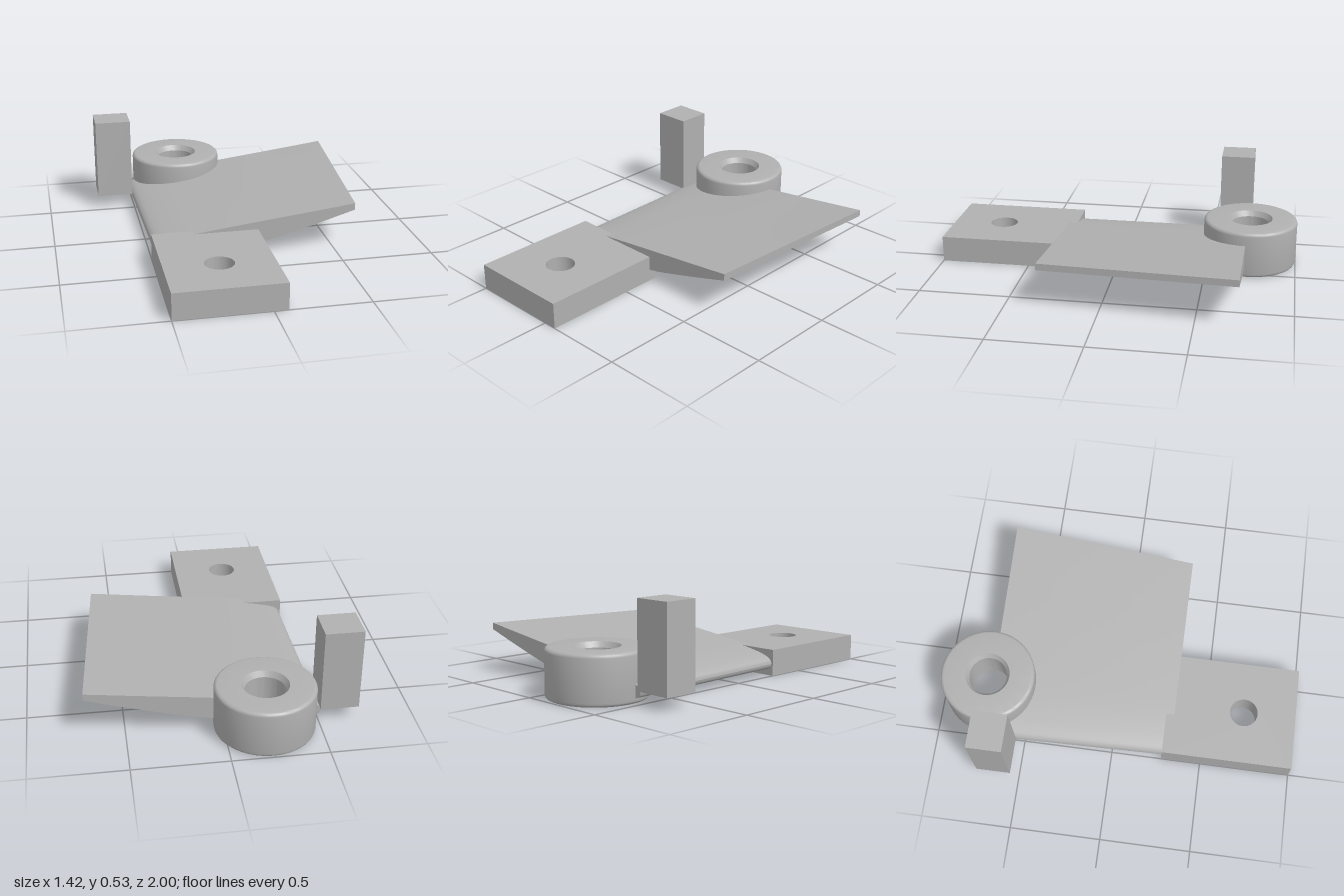
import * as THREE from 'three';
import { mergeGeometries, toCreasedNormals } from 'three/addons/utils/BufferGeometryUtils.js';

const HUB = { x: -0.213, z: -0.737, radius: 0.263, height: 0.26 };
const Z_FRONT = 0.325, Z_BACK = -0.72;
const lerp = THREE.MathUtils.lerp;

// Blade section: chord fraction, underside height, top height
const SECTION = [
  [0, 0.065, 0.065], [0.008, 0.045, 0.087], [0.035, 0.033, 0.106], [0.1, 0.026, 0.126],
  [0.22, 0.026, 0.149], [0.5, 0.063, 0.187], [0.75, 0.133, 0.219], [1, 0.215, 0.252],
];
const under = new THREE.SplineCurve(SECTION.map(([t, b]) => new THREE.Vector2(t, b)));
const over = new THREE.SplineCurve(SECTION.map(([t, , a]) => new THREE.Vector2(t, a)));

// Surface grid from a function of u and v
function grid(nu, nv, fn) {
  const pos = [], index = [];
  for (let j = 0; j <= nv; j++) {
    for (let i = 0; i <= nu; i++) {
      pos.push(...fn(i / nu, j / nv));
      if (i < nu && j < nv) {
        const a = j * (nu + 1) + i, b = a + nu + 1;
        index.push(a, b, a + 1, a + 1, b, b + 1);
      }
    }
  }
  const g = new THREE.BufferGeometry();
  g.setAttribute('position', new THREE.Float32BufferAttribute(pos, 3));
  g.setIndex(index);
  g.computeVertexNormals();
  return g;
}

// Point on the blade: s along the chord, v from front to back
function bladePoint(s, v, curve) {
  const p = curve.getPoint(s);
  // The back edge stops inside the hub wall, leaving the bore clear
  const dx = lerp(-0.51, 0.7, p.x) - HUB.x;
  const arc = Math.abs(dx) < 0.19 ? HUB.z + Math.sqrt(0.19 ** 2 - dx * dx) : Z_BACK;
  const z = lerp(Z_FRONT, Math.max(Z_BACK, arc), v);
  const k = (Z_FRONT - z) / (Z_FRONT - Z_BACK);
  const x = lerp(lerp(-0.49, -0.513, k), lerp(0.615, 0.705, k), p.x);
  return [x, p.y + k * (0.025 * p.x - 0.005), z];
}

function bladeGeometry() {
  const at = (s, v, up) => {
    const a = bladePoint(s, v, under), b = bladePoint(s, v, over);
    return a.map((c, i) => lerp(c, b[i], up));
  };
  return mergeGeometries([
    // skin: top, round the nose, underside
    grid(192, 16, (u, v) => bladePoint(Math.abs(1 - 2 * u), v, u < 0.5 ? over : under)),
    grid(96, 1, (u, v) => at(u, 0, 1 - v)), // front end
    grid(96, 1, (u, v) => at(u, 1, v)),     // back end
    grid(16, 1, (u, v) => at(1, u, 1 - v)), // trailing edge
  ]);
}

// Hub ring with rounded outer edges and chamfered bore
function hubGeometry() {
  const h = HUB.height, R = HUB.radius, f = 0.02, pts = [];
  const add = (x, y) => pts.push(new THREE.Vector2(x, y));
  add(0.105, 0.03);
  add(0.123, 0);
  for (let i = 0; i <= 5; i++) {
    const a = (i / 5) * Math.PI / 2;
    add(R - f + f * Math.sin(a), f - f * Math.cos(a));
  }
  for (let i = 0; i <= 5; i++) {
    const a = (i / 5) * Math.PI / 2;
    add(R - f + f * Math.cos(a), h - f + f * Math.sin(a));
  }
  add(0.123, h);
  add(0.105, h - 0.03);
  add(0.105, 0.03);
  return toCreasedNormals(new THREE.LatheGeometry(pts, 72), 0.45);
}

// Flat mounting block with a bolt hole
function blockGeometry() {
  const shape = new THREE.Shape();
  shape.moveTo(-0.5, -1);
  shape.lineTo(0.075, -1);
  shape.lineTo(0.075, -0.28);
  shape.lineTo(-0.5, -0.28);
  shape.closePath();
  const hole = new THREE.Path();
  hole.absarc(-0.213, -0.71, 0.078, 0, Math.PI * 2, true);
  shape.holes.push(hole);
  const g = new THREE.ExtrudeGeometry(shape, { depth: 0.145, bevelEnabled: false, curveSegments: 40 });
  g.rotateX(-Math.PI / 2);
  return toCreasedNormals(g, 0.5);
}

export function createModel() {
  const group = new THREE.Group();
  const grey = new THREE.MeshStandardMaterial({ color: 0xb0b0b0 });
  grey.name = 'grey';
  const add = (name, geometry, x = 0, y = 0, z = 0) => {
    const mesh = new THREE.Mesh(geometry, grey);
    mesh.name = name;
    mesh.position.set(x, y, z);
    group.add(mesh);
  };
  add('blade', bladeGeometry());
  add('hubRing', hubGeometry(), HUB.x, 0, HUB.z);
  add('mountingBlock', blockGeometry());
  add('post', new THREE.BoxGeometry(0.203, 0.455, 0.19), -0.609, 0.2975, -0.64);
  return group;
}
